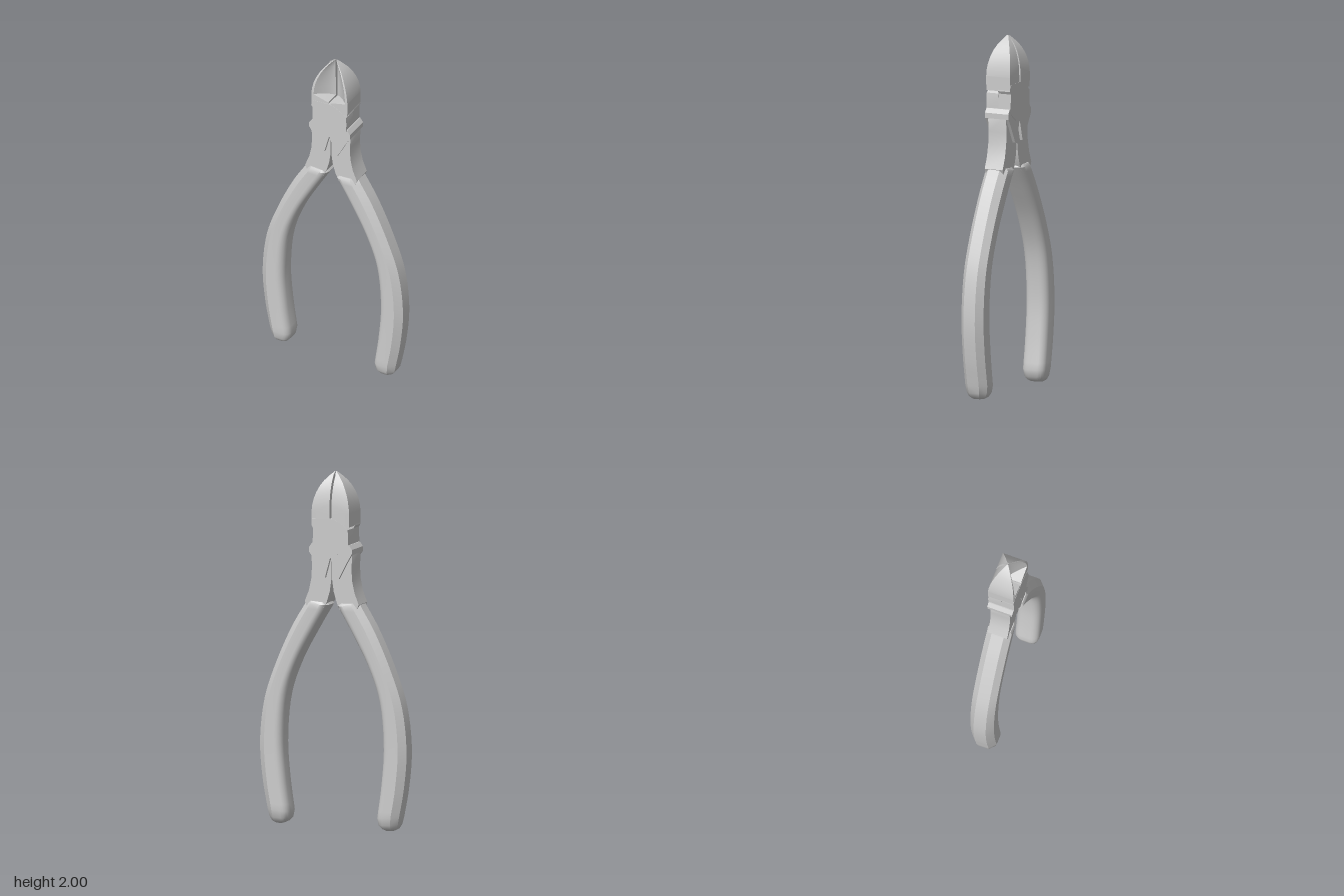
import * as THREE from 'three';
import { toCreasedNormals } from 'three/addons/utils/BufferGeometryUtils.js';

const steel = new THREE.MeshStandardMaterial({ color: 0xcccccc });

// Skin a closed solid over rings of [x, y, z]; side = -1 mirrors it in x
function loft(rings, side, crease = 0.6) {
  const n = rings[0].length, pos = [], idx = [];
  rings.forEach(r => r.forEach(([x, y, z]) => pos.push(side * x, y, z)));
  for (let i = 0; i < rings.length - 1; i++) {
    for (let j = 0; j < n; j++) {
      const a = i * n + j, b = i * n + (j + 1) % n;
      idx.push(a, b, b + n, a, b + n, a + n);
    }
  }
  // end caps as fans around the ring centre
  [0, rings.length - 1].forEach(i => {
    const c = pos.length / 3;
    for (let k = 0; k < 3; k++) {
      const mean = rings[i].reduce((s, p) => s + p[k], 0) / n;
      pos.push(k === 0 ? side * mean : mean);
    }
    for (let j = 0; j < n; j++) {
      const a = i * n + j, b = i * n + (j + 1) % n;
      if (i === 0) idx.push(c, b, a); else idx.push(c, a, b);
    }
  });
  // turn faces outward when the signed volume is negative
  const v = i => new THREE.Vector3().fromArray(pos, i * 3);
  let volume = 0;
  for (let i = 0; i < idx.length; i += 3) volume += v(idx[i]).dot(v(idx[i + 1]).cross(v(idx[i + 2])));
  if (volume < 0) idx.reverse();
  const geo = new THREE.BufferGeometry();
  geo.setAttribute('position', new THREE.Float32BufferAttribute(pos, 3));
  geo.setIndex(idx);
  return toCreasedNormals(geo, crease);
}

// Flat plate with an x-y outline between two depths
function plate(points, z0, z1, side = 1) {
  const shape = new THREE.Shape(points.map(([x, y]) => new THREE.Vector2(side * x, y)));
  const geo = new THREE.ExtrudeGeometry(shape, { depth: z1 - z0, bevelEnabled: false });
  geo.translate(0, 0, z0);
  return toCreasedNormals(geo, 0.5);
}

function add(parent, name, geo) {
  const mesh = new THREE.Mesh(geo, steel);
  mesh.name = name;
  parent.add(mesh);
  return mesh;
}

// Bowed grip: chamfered outer side, rounded inner side
function gripGeometry(side) {
  const curve = pts => new THREE.CatmullRomCurve3(pts.map(p => new THREE.Vector3(...p)));
  const outer = curve([[0.402, 0.08, 0], [0.43, 0.23, 0], [0.448, 0.45, 0], [0.42, 0.7, 0],
    [0.352, 0.9, 0], [0.25, 1.12, 0], [0.168, 1.255, 0]]);
  const inner = curve([[0.268, 0.07, 0], [0.293, 0.25, 0], [0.308, 0.47, 0], [0.283, 0.73, 0],
    [0.215, 0.92, 0], [0.105, 1.12, 0], [0.026, 1.25, 0]]);
  const half = [[0, 0.036], [0.28, 0.07]];
  for (let i = 0; i <= 5; i++) {
    const a = Math.PI / 2 * (1 - i / 5);
    half.push([0.7 + 0.3 * Math.cos(a), 0.025 + 0.045 * Math.sin(a)]);
  }
  const profile = [...half, ...half.slice().reverse().map(([u, z]) => [u, -z])];
  const ring = (o, i, k) => profile.map(([u, z]) => [o[0] + (i[0] - o[0]) * u, o[1] + (i[1] - o[1]) * u, z * k]);
  // rounded foot, body, bevelled mouth
  const rings = [
    ring([0.362, 0, 0], [0.312, 0, 0], 0.5),
    ring([0.378, 0.01, 0], [0.292, 0.01, 0], 0.72),
    ring([0.392, 0.035, 0], [0.275, 0.03, 0], 0.9)];
  for (let i = 0; i <= 28; i++) {
    rings.push(ring(outer.getPoint(i / 28).toArray(), inner.getPoint(i / 28).toArray(), 1));
  }
  rings.push(ring([0.158, 1.272, 0], [0.036, 1.264, 0], 0.88));
  return loft(rings, side);
}

// Cutting jaw: flat back, front hollowed down to the cutting edge
function jawGeometry(side) {
  const HOLLOW = 6;
  const ring = (y, w, d, hollow, tilt = 0) => {
    const gap = Math.min(0.006, w * 0.3), rim = w * 0.88, pts = [];
    for (let i = 0; i <= HOLLOW; i++) {
      const t = i / HOLLOW, edge = -0.12 * d;
      pts.push([gap + (rim - gap) * t, hollow ? edge + (d - edge) * Math.pow(t, 1.35) : d]);
    }
    pts.push([w, d], [w, -d], [gap, -d]);
    return pts.map(([x, z]) => [x, y + tilt * x, z]);
  };
  const rings = [
    ring(1.70, 0.114, 0.075, false),
    ring(1.75, 0.115, 0.075, false, 0.25),
    ring(1.752, 0.115, 0.075, true, 0.25)];
  // outline narrows to the tip in both width and depth
  [[1.815, 0.111, 0.0745], [1.85, 0.104, 0.07], [1.885, 0.092, 0.063], [1.92, 0.075, 0.052],
    [1.95, 0.055, 0.038], [1.98, 0.027, 0.019], [2.0, 0.005, 0.004]]
    .forEach(([y, w, d]) => rings.push(ring(y, w, d, true)));
  return loft(rings, side, 0.5);
}

export function createModel() {
  const model = new THREE.Group();
  model.name = 'cuttingPliers';

  for (const side of [1, -1]) {
    const label = side > 0 ? 'left' : 'right';
    add(model, label + 'Grip', gripGeometry(side));
    add(model, label + 'Jaw', jawGeometry(side));

    // steel shank between the grip and the joint
    add(model, label + 'Shank', plate([[0.002, 1.6], [0.11, 1.6], [0.126, 1.56], [0.121, 1.47], [0.124, 1.4],
      [0.139, 1.33], [0.165, 1.265], [0.15, 1.23], [0.05, 1.23], [0.03, 1.27], [0.012, 1.33], [0.002, 1.4]],
    -0.057, 0.057, side));

    // stop rim beside the joint
    add(model, label + 'StopRim', plate([[0.095, 1.6], [0.113, 1.6], [0.131, 1.575], [0.13, 1.545], [0.11, 1.55]],
      -0.074, 0.074, side));

    // pointed cheeks on both faces of the shank
    for (const z of [0.055, -0.074]) {
      add(model, label + 'Cheek', plate([[0.004, 1.56], [0.004, 1.515], [0.034, 1.408], [0.05, 1.405],
        [0.1, 1.5], [0.13, 1.55], [0.128, 1.575], [0.1, 1.6]], z, z + 0.019, side));
    }
  }

  // lap joint: two equal halves, the rear one turned half a revolution
  const outline = [[-0.111, 1.735], [-0.115, 1.70], [-0.106, 1.685], [-0.108, 1.585], [-0.085, 1.555],
    [-0.045, 1.53], [0, 1.52], [0.05, 1.55], [0.108, 1.59], [0.109, 1.65], [0.106, 1.685],
    [0.08, 1.708], [0.035, 1.732], [0, 1.742]];
  for (const name of ['frontJointPlate', 'rearJointPlate']) {
    const half = add(model, name, plate(outline, 0, 0.0765));
    if (name === 'rearJointPlate') half.rotation.y = Math.PI;
  }
  return model;
}
